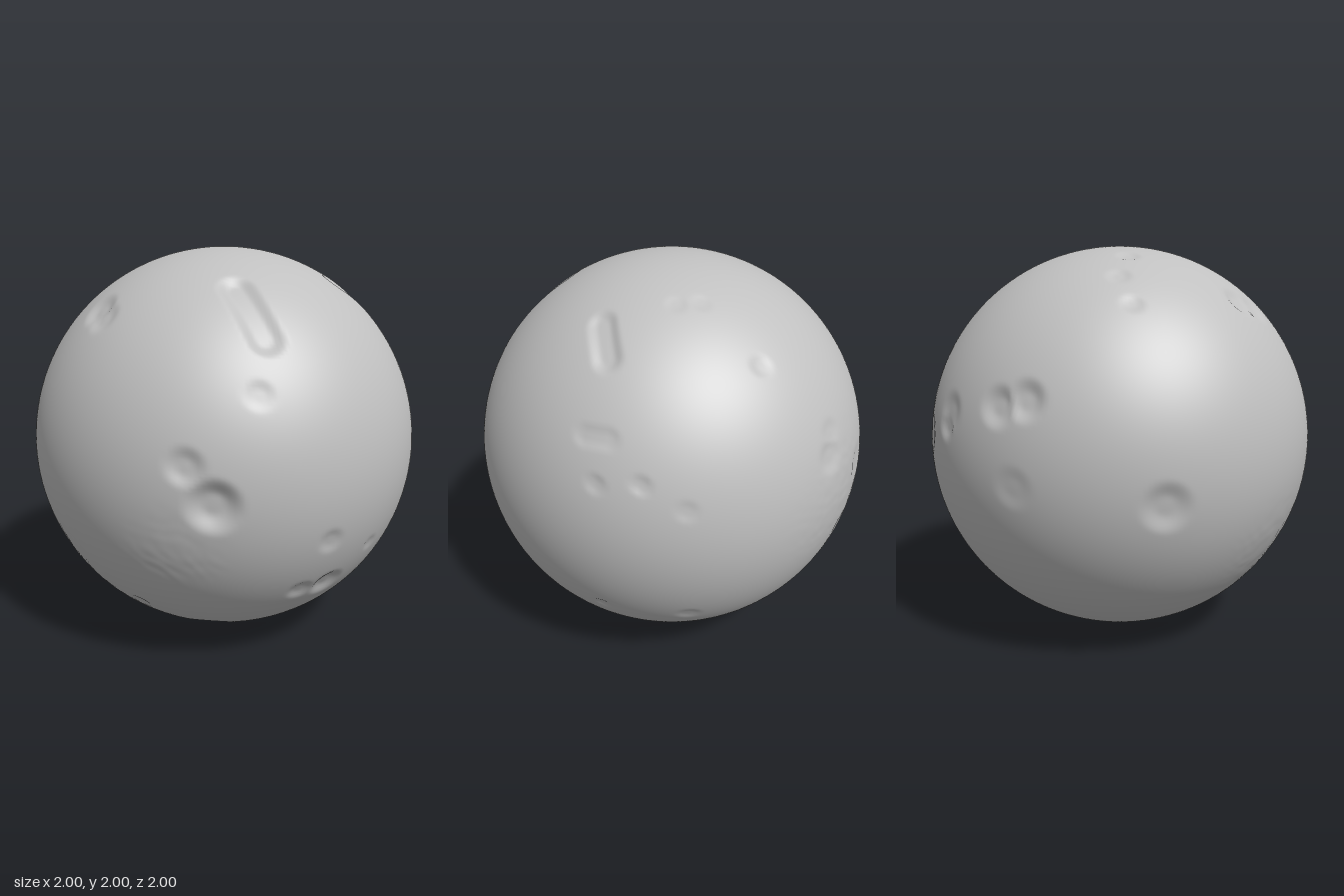
import * as THREE from 'three';
import { mergeVertices } from 'three/addons/utils/BufferGeometryUtils.js';

// Facing directions (azimuth, elevation in degrees) used to place surface marks
const FACING = {
  front: [0, 0], right: [90, 0], top: [0, 90],
  backLeft: [215, 25], backRight: [145, -25],
};

// Point on the unit sphere, s across and t up as seen from a facing direction
function place(facing, s, t) {
  const [a, e] = FACING[facing].map(THREE.MathUtils.degToRad);
  const q = Math.sqrt(Math.max(0, 1 - s * s - t * t));
  const h = q * Math.cos(e) - t * Math.sin(e);
  return new THREE.Vector3(
    s * Math.cos(a) + h * Math.sin(a),
    q * Math.sin(e) + t * Math.cos(e),
    -s * Math.sin(a) + h * Math.cos(a)
  ).normalize();
}

// Round craters: facing, s, t, radius, depth
const CRATERS = [
  ['front', 0.51, -0.06, 0.14, 0.04],
  ['front', 0.4, 0.11, 0.1, 0.02],
  ['front', 0.62, 0.4, 0.08, 0.009],
  ['front', -0.27, 0.71, 0.11, 0.018],
  ['front', -0.2, 0.68, 0.1, 0.012],
  ['front', -0.9, -0.15, 0.13, 0.022],
  ['front', -0.02, -0.7, 0.06, 0.006],
  ['front', 0.2, -0.88, 0.13, 0.008],
  ['right', 0.29 * -1, -0.56, 0.1, 0.02],
  ['right', -0.43, -0.56, 0.075, 0.012],
  ['right', -0.43, -0.28, 0.075, 0.01],
  ['right', -0.12, -0.38, 0.05, 0.006],
  ['right', 0.45, -0.49, 0.055, 0.006],
  ['right', 0.54, 0.26, 0.055, 0.008],
  ['right', 0.69, 0.28, 0.055, 0.009],
  ['right', 0.83, 0.17, 0.06, 0.006],
  ['right', 0.1, -0.92, 0.09, 0.008],
  ['top', 0.06, 0.73, 0.065, 0.008],
  ['top', 0.15, 0.42, 0.06, 0.005],
  ['top', 0.25, 0.37, 0.06, 0.005],
  ['top', -0.35, -0.12, 0.07, 0.01],
  ['top', -0.55, -0.12, 0.07, 0.01],
  ['top', -0.68, -0.21, 0.065, 0.009],
  ['top', -0.2, 0.95, 0.1, 0.012],
  ['top', -0.74, 0.64, 0.11, 0.012],
  ['backLeft', 0.55, -0.1, 0.11, 0.022],
  ['backLeft', 0.65, -0.03, 0.11, 0.024],
  ['backLeft', 0.22, -0.28, 0.08, 0.014],
  ['backLeft', -0.34, -0.06, 0.08, 0.007],
  ['backLeft', -0.07, -0.36, 0.11, 0.007],
  ['backLeft', -0.18, -0.63, 0.06, 0.005],
  ['backLeft', 0.64, -0.4, 0.11, 0.007],
  ['backRight', 0.26, -0.39, 0.065, 0.01],
  ['backRight', 0.06, -0.1, 0.07, 0.006],
  ['backRight', -0.22, -0.66, 0.08, 0.014],
  ['backRight', -0.13, -0.75, 0.09, 0.014],
].map(([f, s, t, r, depth]) => ({ a: place(f, s, t), r, depth }));

// Long gouges run between two points
const GOUGES = [
  { a: place('front', 0.36, 0.82), b: place('front', 0.57, 0.62), r: 0.1, depth: 0.028 },
  { a: place('right', 0.21, 0.82), b: place('right', 0.35, 0.72), r: 0.08, depth: 0.018 },
  { a: place('top', 0.72, 0.53), b: place('top', 0.78, 0.44), r: 0.06, depth: 0.007 },
];

// Faintly rippled patches of ground
const ROUGH = [
  [place('front', -0.35, -0.45), 0.38], [place('front', 0.32, -0.3), 0.3],
  [place('backLeft', -0.25, -0.3), 0.35], [place('backRight', 0.75, 0.25), 0.4],
];

const smooth = THREE.MathUtils.smoothstep;
const segment = new THREE.Line3();
const nearest = new THREE.Vector3();

function heightAt(p) {
  let dip = 0;
  for (const { a, b, r, depth } of [...CRATERS, ...GOUGES]) {
    if (b) segment.set(a, b).closestPointToPoint(p, true, nearest);
    else nearest.copy(a);
    const d = p.distanceTo(nearest) / r;
    // Bowl with a fairly steep wall
    if (d < 1) dip = Math.max(dip, depth * (1 - smooth(d, 0.3, 1)));
  }
  let rough = 0;
  for (const [c, r] of ROUGH) rough = Math.max(rough, 1 - smooth(p.distanceTo(c), 0.3 * r, r));
  const ripple = Math.sin(31 * p.x + 4 * Math.sin(17 * p.y))
    * Math.sin(37 * p.y + 3 * Math.sin(19 * p.z)) * Math.sin(29 * p.z + 3 * Math.sin(23 * p.x));
  return 1 - dip - 0.0025 * rough * (0.5 + 0.5 * ripple);
}

export function createModel() {
  const group = new THREE.Group();
  group.name = 'crateredMoon';

  const stone = new THREE.MeshStandardMaterial({ color: 0xc0c0c0 });
  stone.name = 'pale grey stone';

  // Smooth globe with craters pressed into it
  let globe = new THREE.SphereGeometry(1, 280, 200);
  globe.deleteAttribute('uv');
  globe.deleteAttribute('normal');
  globe = mergeVertices(globe, 1e-5);
  const pos = globe.attributes.position;
  const p = new THREE.Vector3();
  for (let i = 0; i < pos.count; i++) {
    p.fromBufferAttribute(pos, i).normalize();
    p.multiplyScalar(heightAt(p));
    pos.setXYZ(i, p.x, p.y, p.z);
  }
  globe.computeVertexNormals();

  const mesh = new THREE.Mesh(globe, stone);
  mesh.name = 'crateredSurface';
  mesh.position.y = 1;
  group.add(mesh);
  return group;
}
